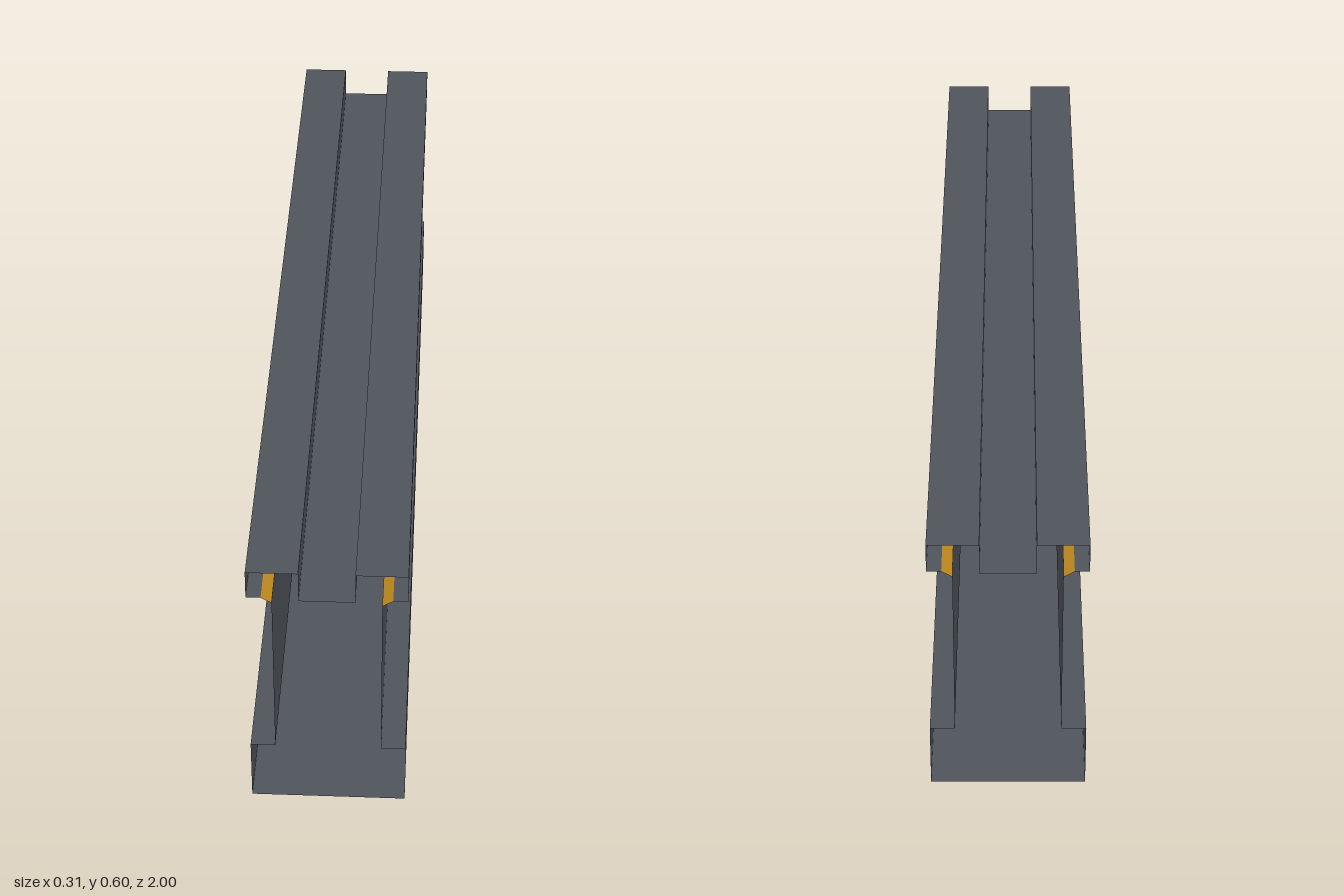
import * as THREE from 'three';

const LENGTH = 2;

const steel = new THREE.MeshStandardMaterial({ color: 0x50555c, side: THREE.DoubleSide });
steel.name = 'dark grey steel';
const amber = new THREE.MeshStandardMaterial({ color: 0xc08a20, side: THREE.DoubleSide });
amber.name = 'amber strip';

// Sweeps an open [x, y] section along z as flat, sharp-edged sheets
function sheet(name, points, material) {
  const group = new THREE.Group();
  group.name = name;
  for (let i = 0; i < points.length - 1; i++) {
    const [x0, y0] = points[i];
    const [x1, y1] = points[i + 1];
    const width = Math.hypot(x1 - x0, y1 - y0);
    const geometry = new THREE.PlaneGeometry(width, LENGTH);
    geometry.rotateX(-Math.PI / 2);
    geometry.rotateZ(Math.atan2(y1 - y0, x1 - x0));
    geometry.translate((x0 + x1) / 2, (y0 + y1) / 2, 0);
    const mesh = new THREE.Mesh(geometry, material);
    mesh.name = name + 'Panel';
    group.add(mesh);
  }
  return group;
}

export function createModel() {
  const model = new THREE.Group();
  model.name = 'hollowBeam';

  // Base and floor of the top groove, listed so their fronts face outwards
  model.add(sheet('basePlate', [[0.157, 0], [-0.157, 0]], steel));
  model.add(sheet('grooveFloor', [[-0.055, 0.532], [0.055, 0.532]], steel));

  for (const [side, s] of [['left', 1], ['right', -1]]) {
    const section = (points) => {
      const placed = points.map(([x, y]) => [x * s, y]);
      return s > 0 ? placed.reverse() : placed;
    };
    // Foot, ledge and tall web
    model.add(sheet(side + 'Web',
      section([[0.157, 0], [0.157, 0.142], [0.107, 0.142], [0.107, 0.525]]), steel));
    // Sloping strip below the flange
    model.add(sheet(side + 'AmberStrip', section([[0.107, 0.525], [0.128, 0.538]]), amber));
    // Top flange, turning down into the groove
    model.add(sheet(side + 'Flange',
      section([[0.128, 0.538], [0.157, 0.538], [0.157, 0.6], [0.055, 0.6], [0.055, 0.532]]), steel));
  }
  return model;
}
